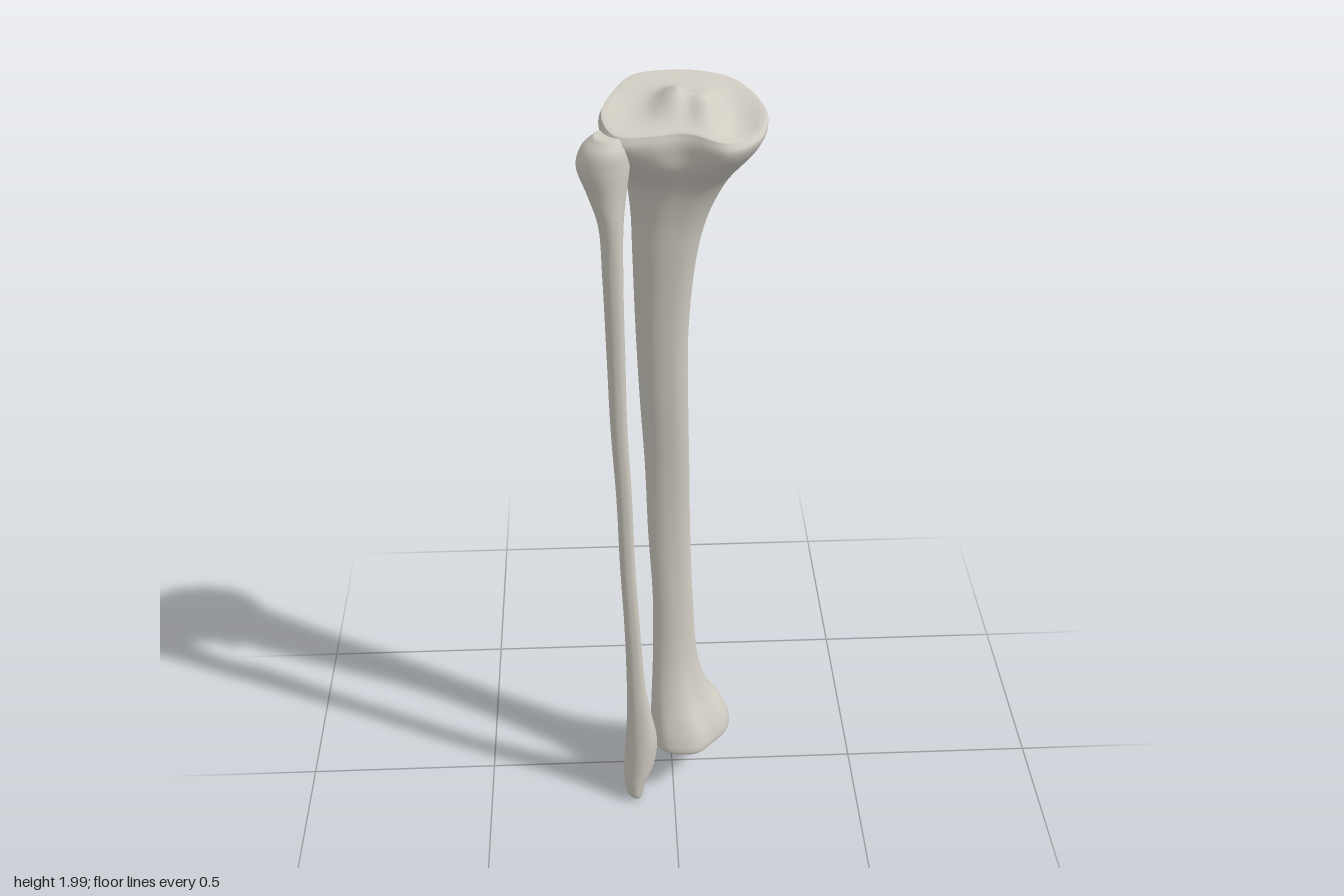
import * as THREE from 'three';

// Outlines seen from above, scaled to -1..1, running from the front (-z) towards +x
const plateau = [[-.25, -.97], [.3, -.93], [.72, -.66], [1, -.05], [.92, .55], [.5, 1], [-.02, .78], [-.42, .85], [-.85, .8], [-1, .2], [-.85, -.4], [-.6, -.85]];
const shaft = [[-.3, -1], [.15, -.8], [.6, -.3], [.95, .2], [.95, .65], [.6, .92], [.1, 1], [-.4, .95], [-.85, .7], [-1, .3], [-.85, -.25], [-.6, -.75]];
const ankle = [[-.1, -.95], [.35, -1], [.8, -.85], [1, -.35], [.9, .15], [.55, .55], [.15, .95], [-.35, 1], [-.75, .85], [-1, .3], [-.9, -.3], [-.6, -.8]];
const round = shaft.map((_, i) => [Math.sin(i * Math.PI / 6), -Math.cos(i * Math.PI / 6)]);

const AROUND = 60, ALONG = 110;
const bump = (x, z, cx, cz, rx, rz) => Math.exp(-(((x - cx) / rx) ** 2) - ((z - cz) / rz) ** 2);

// Rows run bottom to top: [y, xMin, xMax, zMin, zMax, blend]
// blend < 0 mixes the shaft outline with the lower end, > 0 with the upper end
function loft(rows, lower, upper, deform) {
  const outlines = rows.map(([y, x0, x1, z0, z1, w]) => {
    const end = w < 0 ? lower : upper, k = Math.abs(w);
    const pts = shaft.map(([u, v], i) => new THREE.Vector3(
      (x0 + x1) / 2 + (x1 - x0) / 2 * THREE.MathUtils.lerp(u, end[i][0], k), y,
      (z0 + z1) / 2 + (z1 - z0) / 2 * THREE.MathUtils.lerp(v, end[i][1], k)));
    const curve = new THREE.CatmullRomCurve3(pts, true);
    return Array.from({ length: AROUND }, (_, j) => curve.getPoint(j / AROUND));
  });
  const rings = Array.from({ length: ALONG + 1 }, () => []);
  for (let j = 0; j < AROUND; j++) {
    const column = new THREE.CatmullRomCurve3(outlines.map(o => o[j]));
    rings.forEach((r, i) => r.push(column.getPoint(i / ALONG)));
  }
  // End caps made of shrinking rings
  const shrink = (ring, s) => {
    const c = ring.reduce((a, p) => a.add(p), new THREE.Vector3()).divideScalar(AROUND);
    return ring.map(p => p.clone().lerp(c, 1 - s));
  };
  const bottom = rings[0], top = rings[ALONG];
  const scales = [.92, .82, .7, .58, .46, .34, .22, .1, .005];
  scales.forEach(s => { rings.unshift(shrink(bottom, s)); rings.push(shrink(top, s)); });

  const pos = [], index = [];
  rings.forEach(r => r.forEach(p => { deform(p); pos.push(p.x, p.y, p.z); }));
  for (let i = 0; i < rings.length - 1; i++) for (let j = 0; j < AROUND; j++) {
    const a = i * AROUND + j, b = i * AROUND + (j + 1) % AROUND;
    index.push(a, a + AROUND, b, b, a + AROUND, b + AROUND);
  }
  const geo = new THREE.BufferGeometry();
  geo.setAttribute('position', new THREE.Float32BufferAttribute(pos, 3));
  geo.setIndex(index);
  geo.computeVertexNormals();
  return geo;
}

const shinRows = [
  [.15, -.04, .14, -.05, .125, -1],
  [.165, -.055, .155, -.062, .143, -1],
  [.2, -.06, .155, -.068, .138, -1],
  [.25, -.058, .13, -.065, .12, -.9],
  [.3, -.056, .1, -.06, .1, -.7],
  [.4, -.052, .07, -.055, .07, -.4],
  [.6, -.05, .055, -.066, .04, -.1],
  [.8, -.06, .048, -.083, .018, 0],
  [1, -.066, .045, -.1, .011, 0],
  [1.2, -.077, .041, -.115, .017, 0],
  [1.4, -.085, .041, -.13, .024, 0],
  [1.6, -.09, .06, -.145, .035, 0],
  [1.7, -.093, .085, -.152, .042, .05],
  [1.78, -.103, .122, -.157, .06, .15],
  [1.85, -.125, .165, -.158, .1, .45],
  [1.9, -.15, .195, -.15, .12, .85],
  [1.935, -.16, .208, -.143, .125, 1],
  [1.955, -.153, .2, -.133, .117, 1]];

const outerRows = [
  [.004, -.115, -.09, .115, .145, -1],
  [.02, -.129, -.083, .085, .157, -1],
  [.06, -.136, -.07, .055, .161, -1],
  [.11, -.135, -.053, .038, .16, -.8],
  [.2, -.13, -.045, .06, .155, -.6],
  [.3, -.125, -.06, .078, .149, -.4],
  [.4, -.124, -.075, .087, .146, -.2],
  [.6, -.127, -.087, .096, .145, 0],
  [.8, -.135, -.097, .09, .14, 0],
  [1, -.14, -.102, .086, .136, 0],
  [1.2, -.15, -.11, .076, .135, 0],
  [1.4, -.155, -.112, .067, .136, 0],
  [1.6, -.16, -.113, .075, .14, .2],
  [1.73, -.167, -.11, .057, .14, .5],
  [1.8, -.19, -.102, .04, .138, .8],
  [1.86, -.211, -.094, .017, .14, 1],
  [1.9, -.198, -.098, .022, .135, 1],
  [1.925, -.172, -.11, .045, .115, 1]];

// Sloped joint surface with a central ridge on top, inner ankle knob below
function shapeShin(p) {
  const { x, y, z } = p;
  const top = THREE.MathUtils.smoothstep(y, 1.78, 1.95);
  const cap = THREE.MathUtils.smoothstep(y, 1.93, 1.955);
  p.y += top * (-.25 * z - .012 * bump(x, z, .2, .06, .1, .1));
  p.y += cap * (.04 * bump(x, z, .005, -.005, .035, .045) + .04 * bump(x, z, .07, .015, .03, .05)
    - .022 * bump(x, z, .14, .02, .05, .07) - .008 * bump(x, z, -.09, .01, .05, .06));
  const low = 1 - THREE.MathUtils.smoothstep(y, .15, .25);
  p.y += low * (.012 * bump(x, z, .03, .03, .05, .06) - .052 * bump(x, z, .13, -.025, .035, .045)
    - .02 * bump(x, z, .07, .07, .04, .03));
}

// Shallow joint hollow on the inner face of the lower end
function shapeOuter(p) {
  if (p.x > -.1) p.x -= .012 * bump(p.y, p.z, .06, .11, .03, .025);
}

export function createModel() {
  const group = new THREE.Group();
  group.name = 'lowerLegBones';
  const bone = new THREE.MeshStandardMaterial({ color: 0xd0ccc2 });
  bone.name = 'bone';
  const add = (name, geo) => {
    const mesh = new THREE.Mesh(geo, bone);
    mesh.name = name;
    group.add(mesh);
  };
  add('shinBone', loft(shinRows, ankle, plateau, shapeShin));
  add('outerLegBone', loft(outerRows, round, round, shapeOuter));
  return group;
}
